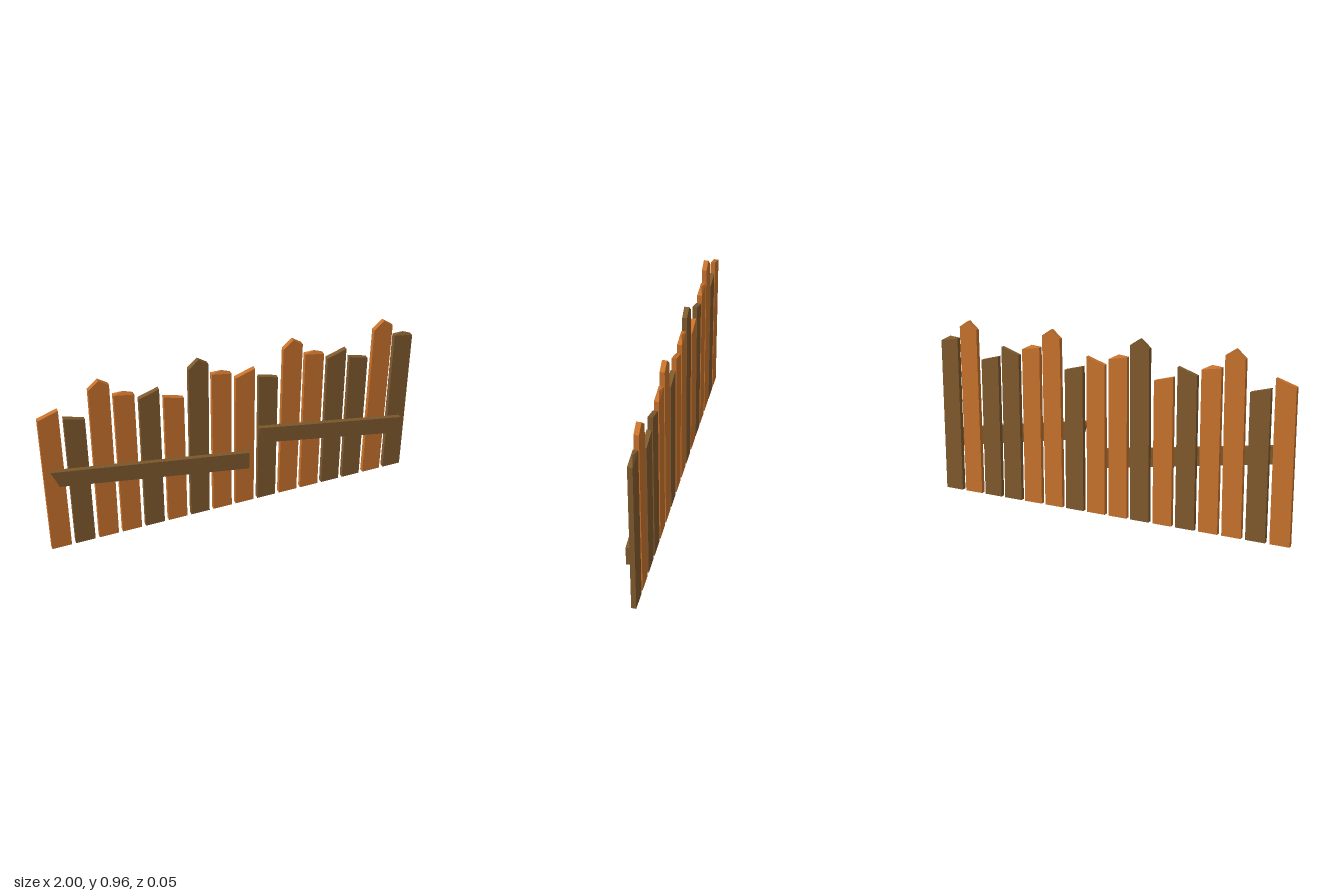
import * as THREE from 'three';
import { ConvexGeometry } from 'three/addons/geometries/ConvexGeometry.js';

const orange = new THREE.MeshStandardMaterial({ color: 0xc8722c, flatShading: true });
const brown = new THREE.MeshStandardMaterial({ color: 0x805a2d, flatShading: true });

// A board: convex outline [x, y] spanning z0..z1, plus optional extra points
function board(name, outline, z0, z1, material, extra = []) {
  const points = outline.flatMap(([x, y]) => [new THREE.Vector3(x, y, z0), new THREE.Vector3(x, y, z1)]);
  points.push(...extra.map((p) => new THREE.Vector3(...p)));
  const mesh = new THREE.Mesh(new ConvexGeometry(points), material);
  mesh.name = name;
  return mesh;
}

export function createModel() {
  const fence = new THREE.Group();
  fence.name = 'fence';

  // Upright planks: four cuts repeat along the fence
  const cuts = [
    { left: 0.805, right: 0.84, lean: 0 },
    { left: 0.785, right: 0.757, lean: 0 },
    { left: 0.915, right: 0.925, lean: 0.005, peak: 0.96 },
    { left: 0.858, right: 0.84, lean: 0, apex: 0.867 },
  ];
  const back = -0.026, front = -0.001, width = 0.104, pitch = (2 - width) / 15;
  const colours = 'OBOOBOBOOBOOBBOB';
  [...colours].forEach((c, i) => {
    const { left, right, lean, peak, apex } = cuts[i % 4];
    const x0 = -1 + i * pitch, x1 = x0 + width, mid = (x0 + x1) / 2;
    const outline = [[x0, 0], [x1, 0], [x1 + lean, right], [x0 + lean, left]];
    if (peak) outline.push([mid + lean, peak]);
    // The fourth cut rises to a shallow pyramid at mid thickness
    const extra = apex ? [[mid, apex, (back + front) / 2]] : [];
    fence.add(board(`plank${i + 1}`, outline, back, front, c === 'O' ? orange : brown, extra));
  });

  // Two slanted rails across the front
  const rails = [
    [[-0.97, 0.507], [0.077, 0.342], [0.077, 0.24], [-0.932, 0.41]],
    [[0.13, 0.486], [0.964, 0.342], [0.964, 0.24], [0.163, 0.387]],
  ];
  rails.forEach((outline, i) => fence.add(board(`rail${i + 1}`, outline, 0.003, 0.027, brown)));

  return fence;
}
